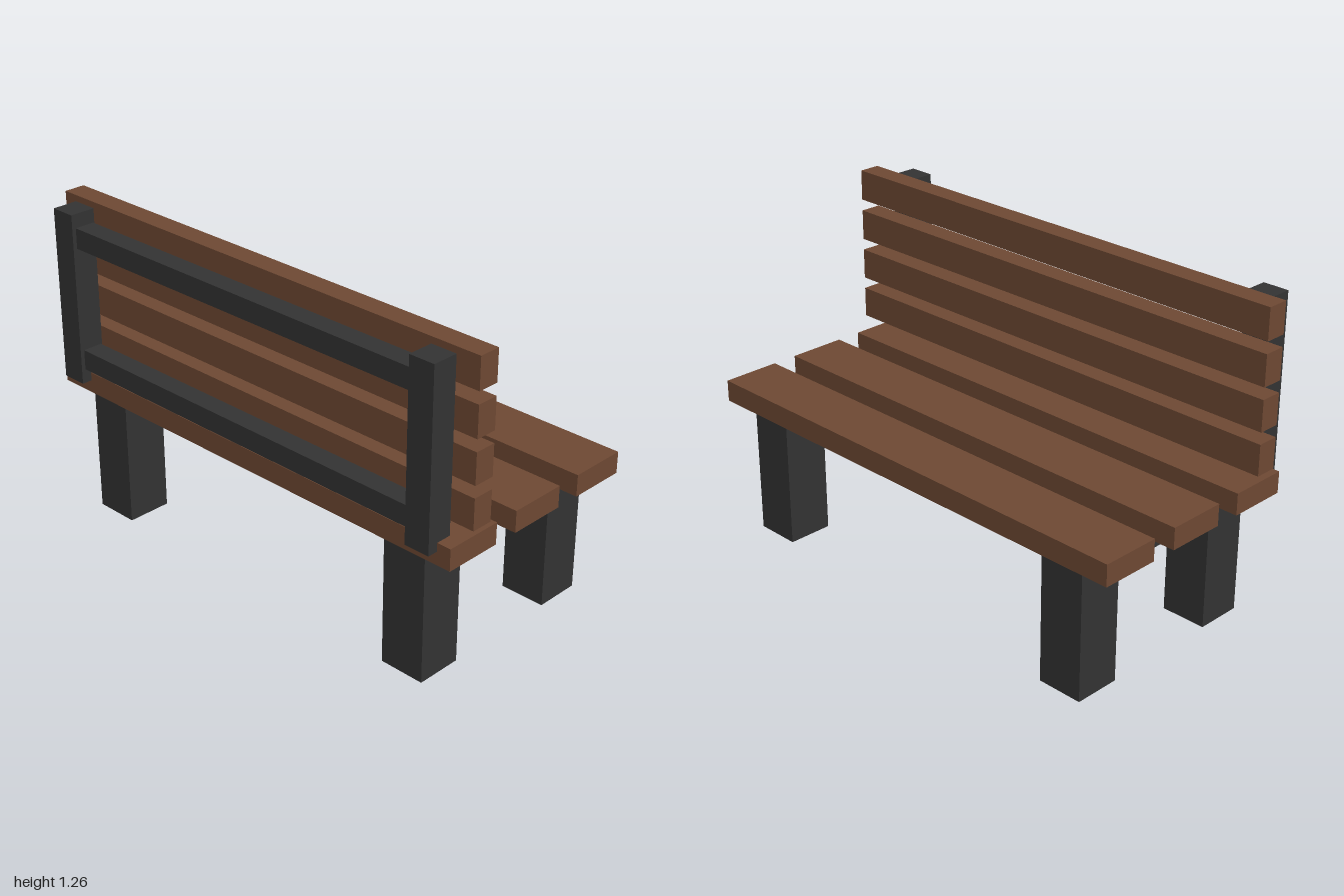
import * as THREE from 'three';

export function createModel() {
  const bench = new THREE.Group();
  bench.name = 'bench';
  const wood = new THREE.MeshStandardMaterial({ color: 0x704a34 });
  wood.name = 'brown wood';
  const metal = new THREE.MeshStandardMaterial({ color: 0x343434 });
  metal.name = 'dark metal';

  // Box given by its low and high limits on each axis
  function beam(name, material, [x0, x1], [y0, y1], [z0, z1]) {
    const mesh = new THREE.Mesh(new THREE.BoxGeometry(x1 - x0, y1 - y0, z1 - z0), material);
    mesh.position.set((x0 + x1) / 2, (y0 + y1) / 2, (z0 + z1) / 2);
    mesh.name = name;
    bench.add(mesh);
  }

  // Seat slats
  for (const x of [-0.425, -0.095, 0.235]) {
    beam('seatSlat', wood, [x, x + 0.23], [0.514, 0.598], [-0.975, 0.97]);
  }

  // Backrest slats
  for (let i = 0; i < 4; i++) {
    const y = 0.645 + i * 0.1655;
    beam('backSlat', wood, [-0.352, -0.268], [y, y + 0.12], [-1, 1]);
  }

  // Legs, with a crossbar joining each pair
  for (const z of [-0.845, 0.66]) {
    for (const x of [-0.396, 0.255]) {
      beam('leg', metal, [x, x + 0.18], [0, 0.514], [z, z + 0.18]);
    }
    beam('crossbar', metal, [-0.216, 0.255], [0.433, 0.508], [z + 0.015, z + 0.147]);
  }

  // Backrest posts
  for (const z of [-0.926, 0.812]) {
    beam('backPost', metal, [-0.466, -0.364], [0.565, 1.244], [z, z + 0.102]);
  }

  // Rails between the posts
  for (const y of [0.62, 1.11]) {
    beam('backRail', metal, [-0.45, -0.37], [y, y + 0.08], [-0.824, 0.812]);
  }

  return bench;
}
